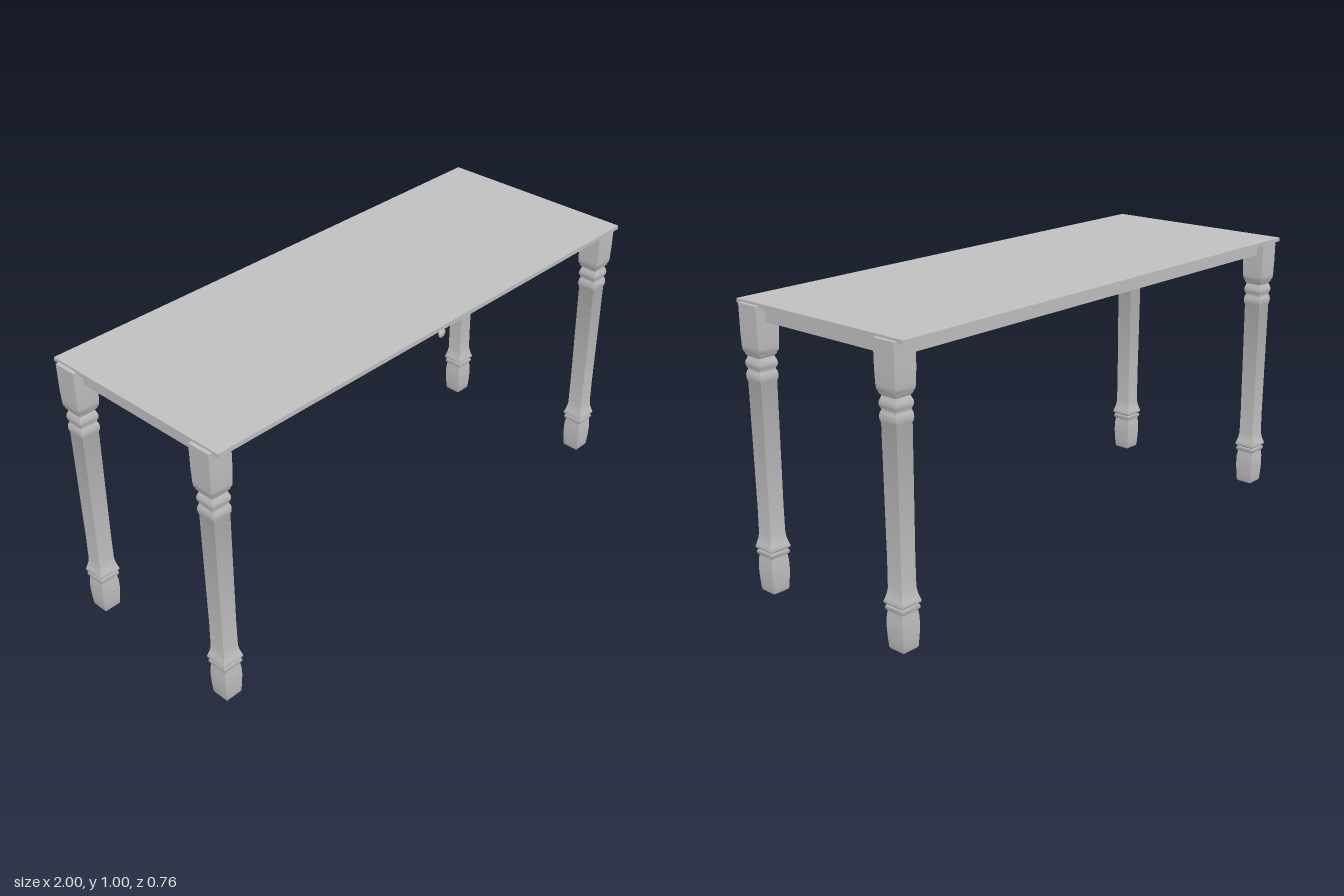
import * as THREE from 'three';
import { toCreasedNormals } from 'three/addons/utils/BufferGeometryUtils.js';

const grey = new THREE.MeshStandardMaterial({ color: 0xc0c0c0 });
grey.name = 'paintedGrey';

// Half width and height up the square leg
const LEG_PROFILE = [
  [0, 0], [0.030, 0], [0.032, 0.006], [0.0345, 0.04], [0.036, 0.075], [0.0355, 0.105], [0.033, 0.126],
  [0.033, 0.129], [0.0365, 0.132], [0.039, 0.139], [0.0365, 0.146],
  [0.033, 0.147], [0.034, 0.150], [0.040, 0.154], [0.041, 0.160], [0.037, 0.172], [0.033, 0.188], [0.0305, 0.205],
  [0.030, 0.30], [0.0325, 0.733],
  [0.0345, 0.737], [0.036, 0.746], [0.036, 0.756], [0.034, 0.766], [0.031, 0.772],
  [0.032, 0.777], [0.0355, 0.784], [0.0365, 0.793], [0.035, 0.802], [0.031, 0.812], [0.030, 0.816],
  [0.036, 0.824], [0.036, 0.829], [0.040, 0.834], [0.0415, 0.85], [0.043, 0.90], [0.0435, 0.99], [0, 0.99],
];

function add(parent, name, geometry, x = 0, y = 0, z = 0) {
  const mesh = new THREE.Mesh(geometry, grey);
  mesh.name = name;
  mesh.position.set(x, y, z);
  parent.add(mesh);
  return mesh;
}

function box(parent, name, w, h, d, x, y, z) {
  return add(parent, name, new THREE.BoxGeometry(w, h, d), x, y, z);
}

// Four-sided lathe: square section with crisp corners and soft mouldings
function legGeometry() {
  const points = LEG_PROFILE.map(([r, y]) => new THREE.Vector2(r * Math.SQRT2, y));
  const lathe = new THREE.LatheGeometry(points, 4, Math.PI / 4);
  return toCreasedNormals(lathe.toNonIndexed(), 0.7);
}

export function createModel() {
  const table = new THREE.Group();
  table.name = 'consoleTable';

  box(table, 'tableTop', 1.974, 0.014, 0.762, 0, 0.991, 0);

  // Closed frame below the top
  box(table, 'apron', 1.93, 0.05, 0.66, 0, 0.96, 0);

  // Legs
  const leg = legGeometry();
  for (const [xName, sx] of [['Left', 1], ['Right', -1]]) {
    for (const [zName, sz] of [['front', 1], ['back', -1]]) {
      add(table, zName + xName + 'Leg', leg, sx * 0.9565, 0, sz * 0.312);
    }
  }

  // Drawer front and round knob
  const drawer = new THREE.Group();
  drawer.name = 'drawer';
  table.add(drawer);
  box(drawer, 'drawerFront', 0.434, 0.042, 0.012, 0, 0.963, 0.33);
  const knobPoints = [[0.008, 0], [0.005, 0.006], [0.0045, 0.030], [0.009, 0.033], [0.016, 0.036],
    [0.0165, 0.038], [0.013, 0.041], [0.007, 0.0425], [0, 0.043]]
    .map(([r, y]) => new THREE.Vector2(r, y));
  const knob = add(drawer, 'drawerKnob', new THREE.LatheGeometry(knobPoints, 24), 0, 0.963, 0.334);
  knob.rotation.x = Math.PI / 2;

  return table;
}
